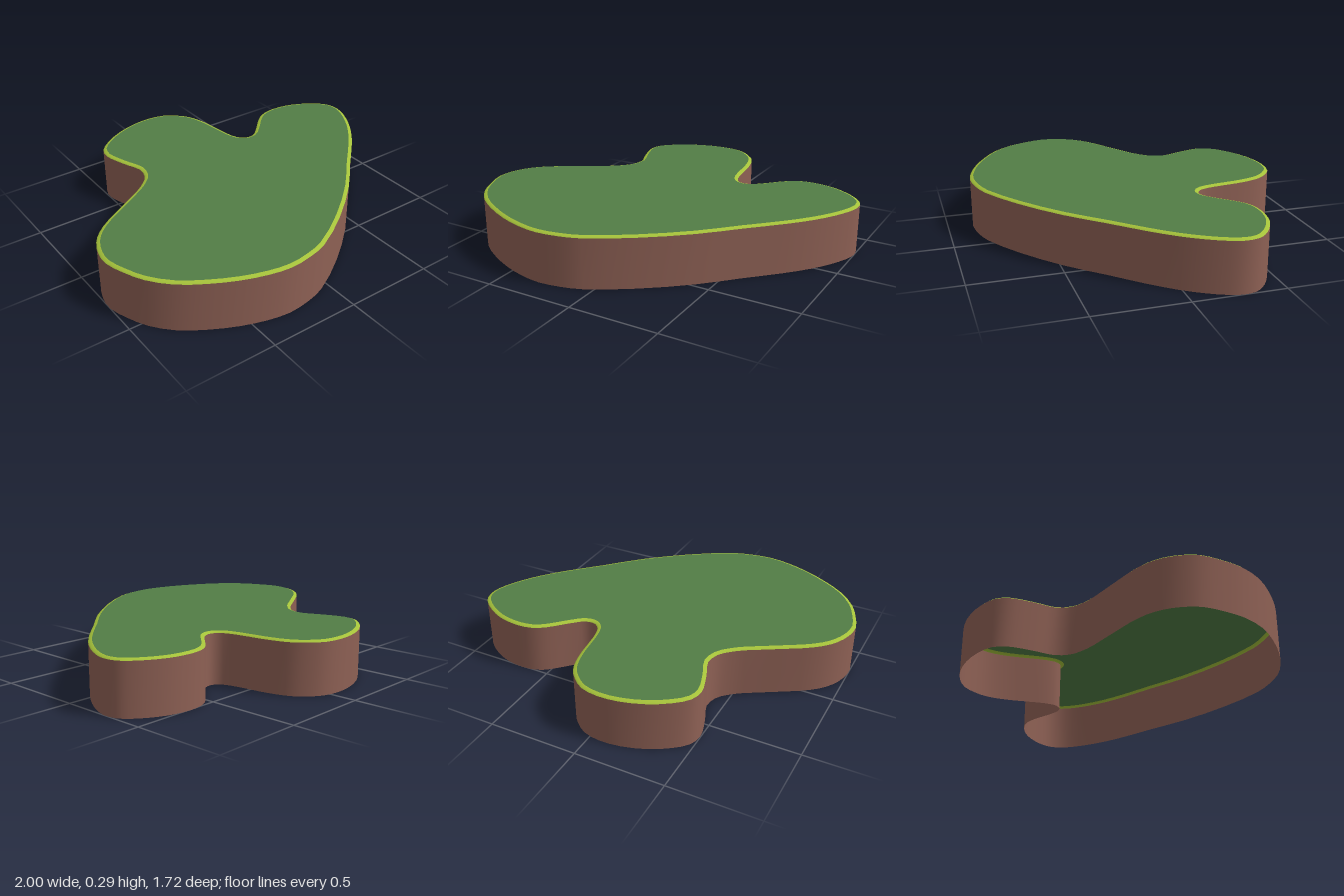
import * as THREE from 'three';

// Outline of the slab seen from above, as [x, z], smoothed by a closed spline
const OUTLINE = [
  [-0.06, -0.86], [0.04, -0.84], [0.11, -0.79], [0.16, -0.73], [0.19, -0.655], [0.21, -0.56],
  [0.227, -0.425], [0.25, -0.34], [0.285, -0.305], [0.325, -0.3], [0.37, -0.32], [0.47, -0.42],
  [0.54, -0.48], [0.615, -0.505], [0.705, -0.505], [0.795, -0.485], [0.885, -0.44], [0.955, -0.385],
  [0.99, -0.335], [1, -0.265], [0.98, -0.19], [0.93, -0.09], [0.855, 0.02], [0.75, 0.14],
  [0.59, 0.3], [0.415, 0.48], [0.18, 0.67], [-0.05, 0.81], [-0.165, 0.845], [-0.295, 0.86],
  [-0.42, 0.84], [-0.555, 0.795], [-0.695, 0.725], [-0.82, 0.64], [-0.915, 0.53], [-0.965, 0.425],
  [-1, 0.31], [-0.99, 0.215], [-0.955, 0.13], [-0.9, 0.06], [-0.81, -0.01], [-0.55, -0.165],
  [-0.48, -0.22], [-0.435, -0.275], [-0.42, -0.355], [-0.45, -0.435], [-0.48, -0.52], [-0.498, -0.6],
  [-0.48, -0.675], [-0.41, -0.745], [-0.3, -0.81], [-0.175, -0.85],
];

// Outline moved inwards by a distance
function insetRing(points, inset) {
  const n = points.length;
  return points.map((p, i) => {
    const t = points[(i + 1) % n].clone().sub(points[(i + n - 1) % n]).normalize();
    return new THREE.Vector2(p.x - t.y * inset, p.y + t.x * inset);
  });
}

// Closed band through a profile of [inset, height] steps around the outline
function band(points, profile) {
  const n = points.length;
  const positions = [];
  const indices = [];
  for (const [inset, y] of profile) {
    for (const p of insetRing(points, inset)) positions.push(p.x, y, p.y);
  }
  for (let r = 0; r < profile.length - 1; r++) {
    for (let i = 0; i < n; i++) {
      const j = (i + 1) % n;
      const a = r * n + i, a1 = r * n + j;
      indices.push(a, a + n, a1, a1, a + n, a1 + n);
    }
  }
  const geometry = new THREE.BufferGeometry();
  geometry.setAttribute('position', new THREE.Float32BufferAttribute(positions, 3));
  geometry.setIndex(indices);
  geometry.computeVertexNormals();
  return geometry;
}

function material(name, color) {
  const m = new THREE.MeshStandardMaterial({ color, side: THREE.DoubleSide });
  m.name = name;
  return m;
}

export function createModel() {
  const model = new THREE.Group();
  model.name = 'grassIsland';
  const add = (name, geometry, mat) => {
    const mesh = new THREE.Mesh(geometry, mat);
    mesh.name = name;
    model.add(mesh);
  };

  const curve = new THREE.CatmullRomCurve3(OUTLINE.map(([x, z]) => new THREE.Vector3(x, 0, z)), true);
  const points = curve.getPoints(OUTLINE.length * 2).slice(0, -1).map((p) => new THREE.Vector2(p.x, p.z));

  // Earth wall, open underneath
  add('earthWall', band(points, [[0, 0], [0, 0.28]]), material('earthBrown', 0x8d6054));

  // Rounded bright edge between the wall and the grass
  add('grassRim', band(points, [[0, 0.28], [0.006, 0.286], [0.02, 0.29]]), material('limeGreen', 0xa5c23a));

  // Flat grass top
  const shape = new THREE.Shape(insetRing(points, 0.02).map((p) => new THREE.Vector2(p.x, -p.y)));
  const top = new THREE.ShapeGeometry(shape).rotateX(-Math.PI / 2).translate(0, 0.29, 0);
  add('grassTop', top, material('grassGreen', 0x527d45));

  return model;
}
